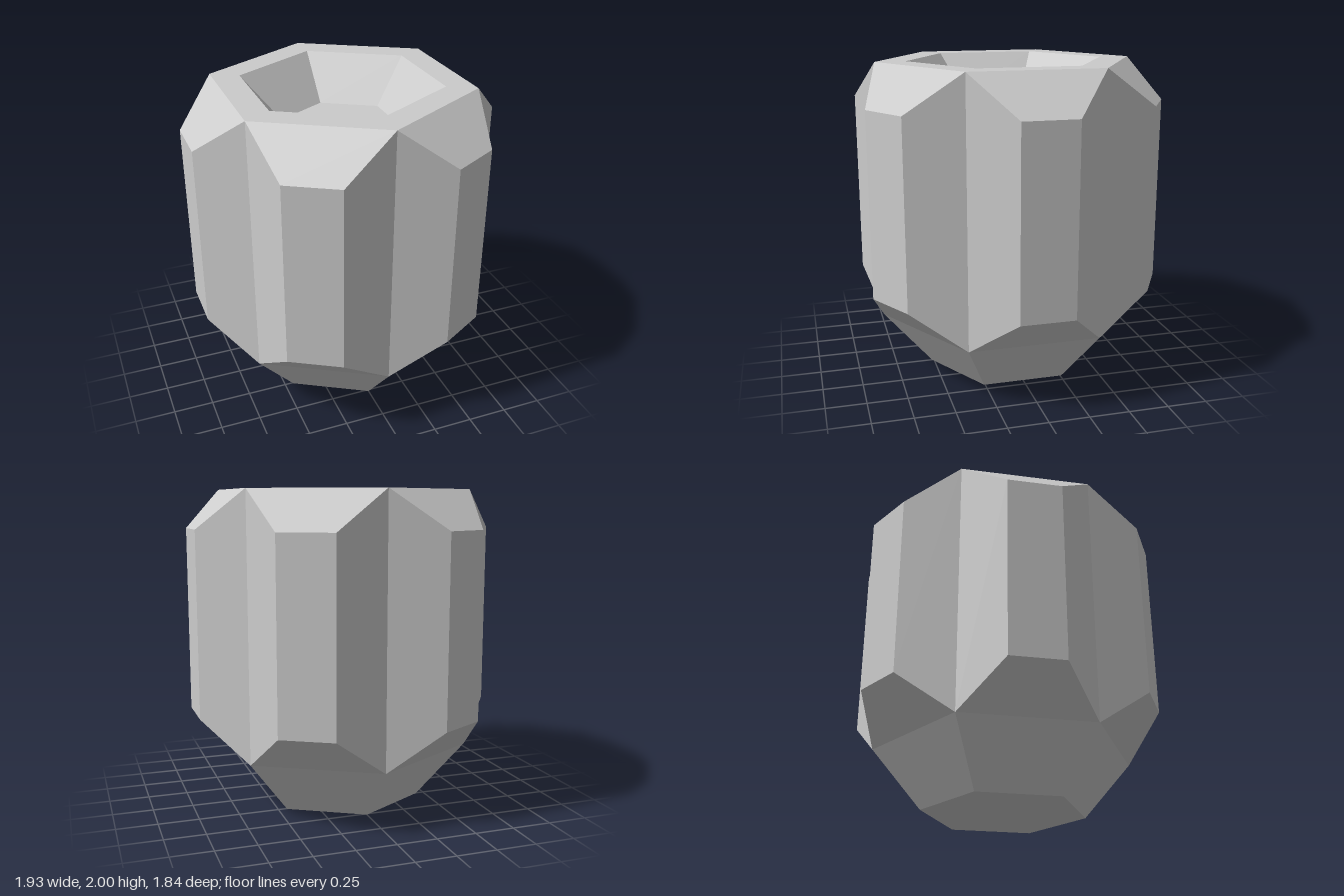
import * as THREE from 'three';

// Bottom-to-top profile of one sixth: [distance from axis, height, half width]
const T = Math.tan(Math.PI / 6);
const HEX = (u, y) => [u, y, u * T];
const baseCentre = HEX(0, 0), base = HEX(0.445, 0), waist = HEX(0.71, 0.36);
const lobeLow = [0.965, 0.605, 0.168], lobeHigh = [0.965, 1.76, 0.168];
const shoulder = HEX(0.71, 2), rim = HEX(0.545, 2);
const floor = HEX(0.325, 1.727), floorCentre = HEX(0, 1.727);

// Corner of a profile station on side s (+1 or -1), turned by angle a
function corner([u, y, h], s, a) {
  const v = h * s, c = Math.cos(a), n = Math.sin(a);
  return new THREE.Vector3(u * c - v * n, y, u * n + v * c);
}

// Flat-faced mesh from a function that lists the quads of one sixth
function sixfold(name, material, quadsAt) {
  const points = [];
  for (let i = 0; i < 6; i++) {
    for (const [p, q, r, s] of quadsAt((i * Math.PI) / 3)) {
      for (const tri of [[p, q, r], [p, r, s]]) {
        if (new THREE.Triangle(...tri).getArea() > 1e-6) points.push(...tri);
      }
    }
  }
  const geometry = new THREE.BufferGeometry().setFromPoints(points);
  geometry.computeVertexNormals();
  const mesh = new THREE.Mesh(geometry, material);
  mesh.name = name;
  return mesh;
}

// Faces running up the profile, one per pair of neighbouring stations
function bands(stations, a) {
  return stations.slice(1).map((top, i) => {
    const low = stations[i];
    return [corner(low, 1, a), corner(low, -1, a), corner(top, -1, a), corner(top, 1, a)];
  });
}

export function createModel() {
  const group = new THREE.Group();
  group.name = 'lobedPot';
  const material = new THREE.MeshStandardMaterial({ color: 0xcccccc, flatShading: true });

  // Tapered hexagonal foot with closed underside
  group.add(sixfold('foot', material, (a) => bands([baseCentre, base, waist], a)));

  // Six bulging ribs: bevels, outer face and two flanks each
  group.add(sixfold('ribs', material, (a) => {
    const flank = (s) => [waist, lobeLow, lobeHigh, shoulder].map((st) => corner(st, s, a));
    return [...bands([waist, lobeLow, lobeHigh, shoulder], a), flank(1), flank(-1).reverse()];
  }));

  // Flat hexagonal rim
  group.add(sixfold('rim', material, (a) => bands([shoulder, rim], a)));

  // Shallow tapered recess
  group.add(sixfold('recess', material, (a) => bands([rim, floor, floorCentre], a)));

  return group;
}
